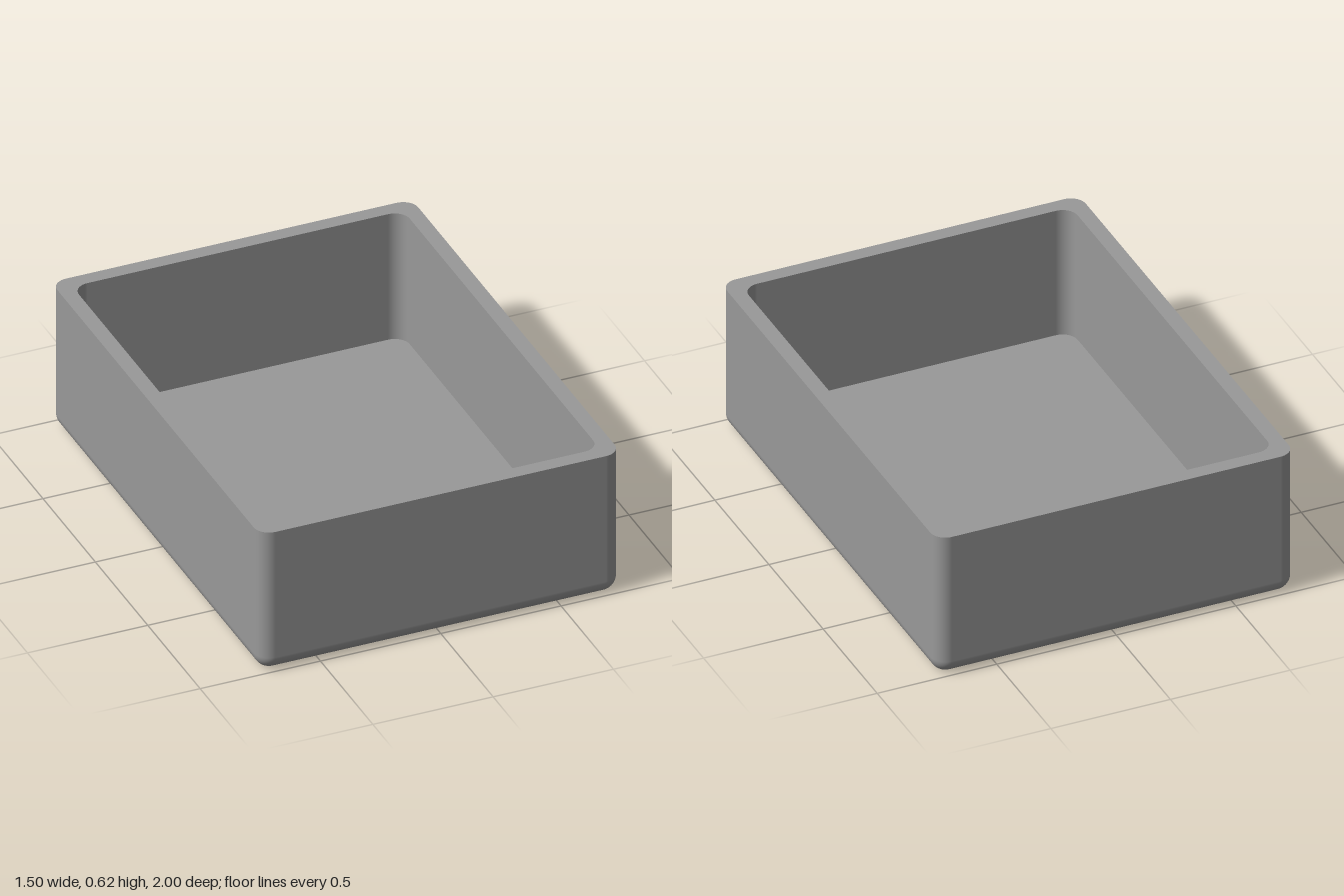
import * as THREE from 'three';

const HX = 0.75, HZ = 1, H = 0.625;       // outer half sizes and height
const WALL = 0.0625, R = 0.0625;          // wall thickness, corner and fillet radius
const DRAIN = { x: 0.5, z: 0.75, r: 0.095 };
const STEPS = 10;

// Loop of a rounded rectangle: corner centre plus direction for each point
function outline(hx, hz, r, ox = 0, oz = 0, steps = STEPS) {
  const pts = [];
  for (let k = 0; k < 4; k++) {
    const sx = k === 0 || k === 3 ? 1 : -1, sz = k < 2 ? 1 : -1;
    for (let i = 0; i <= steps; i++) {
      const a = (k + i / steps) * Math.PI / 2;
      pts.push({ cx: ox + sx * (hx - r), cz: oz + sz * (hz - r), nx: Math.cos(a), nz: Math.sin(a), r });
    }
  }
  return pts;
}

// Smooth wall swept round a loop; rows are [height, fillet angle] from the bottom up
function wall(loop, rows, inward = false) {
  const pos = [], nor = [], idx = [], n = loop.length, s = inward ? -1 : 1;
  for (const [y, t] of rows) {
    const c = Math.cos(t);
    for (const p of loop) {
      pos.push(p.cx + p.r * c * p.nx, y, p.cz + p.r * c * p.nz);
      nor.push(s * c * p.nx, -Math.sin(t), s * c * p.nz);
    }
  }
  for (let j = 0; j < rows.length - 1; j++) {
    for (let i = 0; i < n; i++) {
      const a = j * n + i, b = j * n + (i + 1) % n, c = a + n, d = b + n;
      if (inward) idx.push(a, b, c, c, b, d);
      else idx.push(a, c, b, b, c, d);
    }
  }
  const g = new THREE.BufferGeometry();
  g.setAttribute('position', new THREE.Float32BufferAttribute(pos, 3));
  g.setAttribute('normal', new THREE.Float32BufferAttribute(nor, 3));
  g.setIndex(idx);
  return g;
}

// Horizontal face bounded by a loop with one hole
function flat(loop, hole, y, up) {
  const s = up ? -1 : 1;
  const to2D = l => l.map(p => new THREE.Vector2(p.cx + p.r * p.nx, s * (p.cz + p.r * p.nz)));
  const shape = new THREE.Shape(to2D(loop));
  shape.holes.push(new THREE.Path(to2D(hole)));
  return new THREE.ShapeGeometry(shape).rotateX(s * Math.PI / 2).translate(0, y, 0);
}

export function createModel() {
  const group = new THREE.Group();
  group.name = 'basin';
  const grey = new THREE.MeshStandardMaterial({ color: 0x999999 });
  grey.name = 'grey';
  const add = (name, geometry) => {
    const mesh = new THREE.Mesh(geometry, grey);
    mesh.name = name;
    group.add(mesh);
  };

  const outer = outline(HX, HZ, R);
  const inner = outline(HX - WALL, HZ - WALL, R);
  const base = outline(HX - R, HZ - R, 0, 0, 0, 1);
  const drain = outline(DRAIN.r, DRAIN.r, DRAIN.r, DRAIN.x, DRAIN.z, 12);

  // Outer walls with a rounded bottom edge
  const rows = [];
  for (let i = STEPS; i >= 0; i--) {
    const t = i / STEPS * Math.PI / 2;
    rows.push([R - R * Math.sin(t), t]);
  }
  rows.push([H, 0]);
  add('outerWalls', wall(outer, rows));

  // Inside walls, rim, floor and underside
  add('innerWalls', wall(inner, [[WALL, 0], [H, 0]], true));
  add('rim', flat(outer, inner, H, true));
  add('floor', flat(inner, drain, WALL, true));
  // Corner points of the flat underside, without repeats
  add('underside', flat(base.filter((p, i) => i % 2 === 0), drain, 0, false));

  // Drain hole through the floor
  add('drainHole', wall(drain, [[0, 0], [WALL, 0]], true));

  return group;
}
